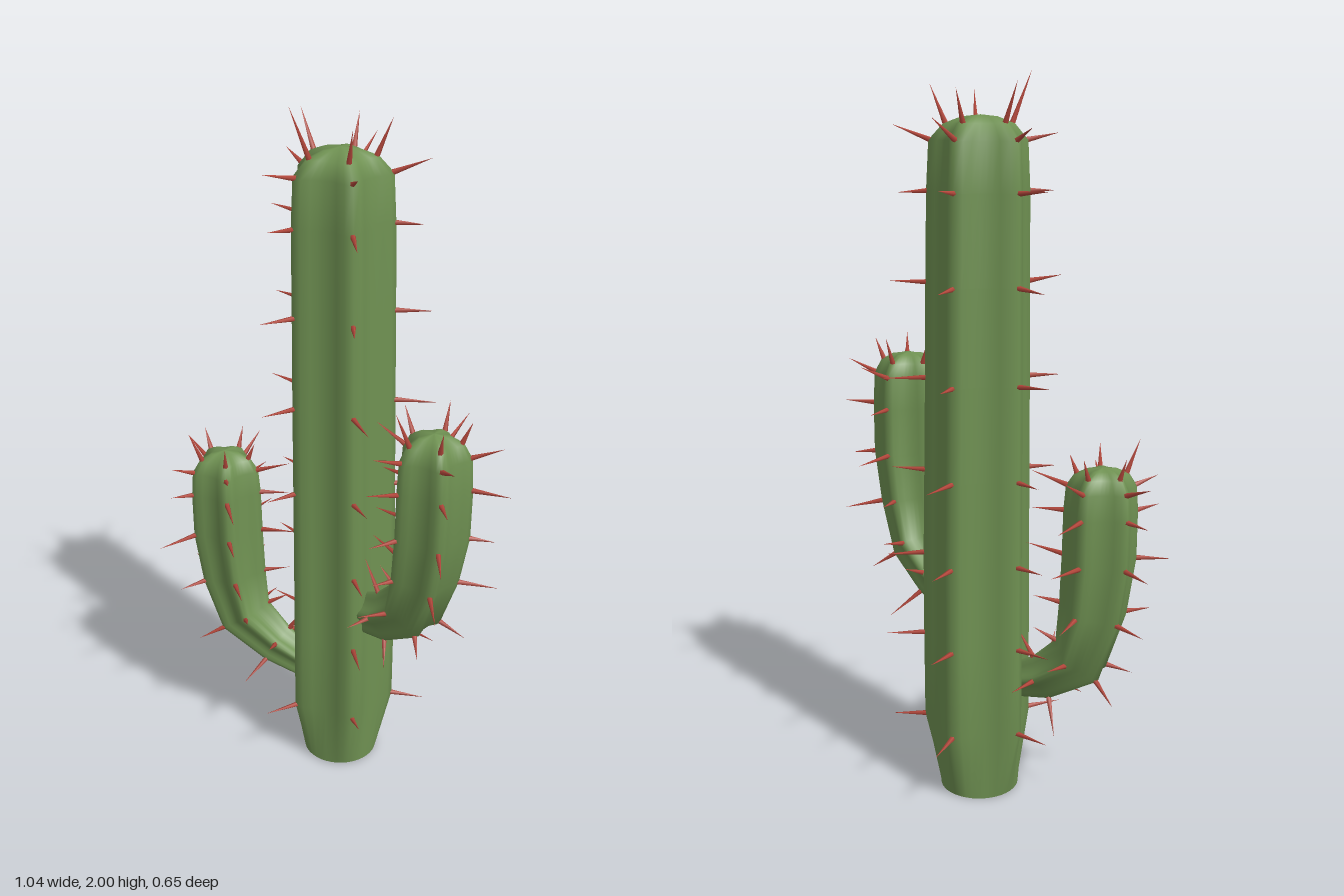
import * as THREE from 'three';
import { mergeGeometries } from 'three/addons/utils/BufferGeometryUtils.js';

const RIBS = 5, SEGMENTS = 40;
const UP = new THREE.Vector3(0, 1, 0);
const skin = new THREE.MeshStandardMaterial({ color: 0x6f9152, side: THREE.DoubleSide });
const red = new THREE.MeshStandardMaterial({ color: 0xb5483c });

// Small seeded generator for the irregular spines
let seed = 7;
const rand = () => (seed = (seed * 16807) % 2147483647) / 2147483647;
const jitter = (amount) => (rand() - 0.5) * 2 * amount;

// Rotation that tilts a level ring to follow the path at ring i
function ringTilt(rings, i) {
  const a = rings[Math.max(i - 1, 0)], b = rings[Math.min(i + 1, rings.length - 1)];
  const tangent = new THREE.Vector3(b[0] - a[0], b[1] - a[1], b[2] - a[2]).normalize();
  return new THREE.Quaternion().setFromUnitVectors(UP, tangent);
}

const radial = (angle) => new THREE.Vector3(Math.cos(angle), 0, Math.sin(angle));
const centre = (ring) => new THREE.Vector3(ring[0], ring[1], ring[2]);

// Ribbed stem lofted through rings of [x, y, z, radius, rib depth]
function stemGeometry(rings, phase) {
  const positions = [], index = [];
  rings.forEach((ring, i) => {
    const tilt = ringTilt(rings, i);
    const depth = ring[4] ?? 0.26;
    for (let j = 0; j < SEGMENTS; j++) {
      const a = (j / SEGMENTS) * Math.PI * 2;
      const rib = Math.pow(0.5 + 0.5 * Math.cos(RIBS * a), 1.7);
      const r = ring[3] * (1 - depth + depth * rib);
      const p = radial(a + phase).multiplyScalar(r).applyQuaternion(tilt).add(centre(ring));
      positions.push(p.x, p.y, p.z);
      if (i < rings.length - 1) {
        const k = (j + 1) % SEGMENTS;
        const a0 = i * SEGMENTS + j, b0 = i * SEGMENTS + k;
        const a1 = a0 + SEGMENTS, b1 = b0 + SEGMENTS;
        index.push(a0, a1, b0, b0, a1, b1);
      }
    }
  });
  const geometry = new THREE.BufferGeometry();
  geometry.setAttribute('position', new THREE.Float32BufferAttribute(positions, 3));
  geometry.setIndex(index);
  geometry.computeVertexNormals();
  return geometry;
}

// One spine on every rib of every ring except the bare [ring, rib] spots, with a crown at the tip
function spineGeometry(rings, phase, crownLength, bare) {
  const cones = [];
  const crown = rings.length - 3, shoulder = crown - 1;
  for (let i = 1; i <= crown; i++) {
    const tilt = ringTilt(rings, i);
    for (let j = 0; j < RIBS; j++) {
      if (bare.some(([ring, rib]) => ring === i && rib === j)) continue;
      const out = radial(phase + (j / RIBS) * Math.PI * 2);
      const root = out.clone().multiplyScalar(rings[i][3] - 0.008).applyQuaternion(tilt).add(centre(rings[i]));
      const dir = out.clone();
      let length = 0.07 + 0.055 * rand();
      if (i === crown) {
        dir.y = 2.4;
        length = crownLength * (j === 1 ? 1 : 0.55 + 0.25 * rand());
      } else {
        dir.y = (i === shoulder ? 0.35 : 0) + jitter(0.12);
        dir.x += jitter(0.18);
        dir.z += jitter(0.18);
        dir.applyQuaternion(tilt);
      }
      const cone = new THREE.ConeGeometry(0.008, length, 5);
      cone.translate(0, length / 2, 0);
      cone.applyQuaternion(new THREE.Quaternion().setFromUnitVectors(UP, dir.normalize()));
      cone.translate(root.x, root.y, root.z);
      cones.push(cone);
    }
  }
  return mergeGeometries(cones);
}

function stem(name, rings, phaseDegrees, crownLength, bare = []) {
  const phase = THREE.MathUtils.degToRad(phaseDegrees);
  const group = new THREE.Group();
  group.name = name;
  const body = new THREE.Mesh(stemGeometry(rings, phase), skin);
  body.name = name + 'Body';
  const spines = new THREE.Mesh(spineGeometry(rings, phase, crownLength, bare), red);
  spines.name = name + 'Spines';
  group.add(body, spines);
  return group;
}

export function createModel() {
  seed = 7;
  const model = new THREE.Group();
  model.name = 'cactus';

  // Trunk: round open foot, ribbed column, domed top
  const trunk = [
    [-0.025, 0, -0.087, 0.111, 0],
    [-0.028, 0.2, -0.089, 0.159],
    [-0.028, 0.45, -0.089, 0.159],
    [-0.029, 0.69, -0.089, 0.158],
    [-0.032, 0.93, -0.088, 0.155],
    [-0.035, 1.19, -0.087, 0.152],
    [-0.038, 1.45, -0.087, 0.149],
    [-0.041, 1.69, -0.086, 0.146],
    [-0.042, 1.82, -0.086, 0.139],
    [-0.042, 1.862, -0.086, 0.1],
    [-0.042, 1.88, -0.086, 0.05],
    [-0.042, 1.885, -0.086, 0],
  ];

  // Left arm: higher and longer
  const leftArm = [
    [0.07, 0.54, -0.098, 0.062],
    [0.17, 0.574, -0.101, 0.074],
    [0.272, 0.648, -0.103, 0.09],
    [0.311, 0.78, -0.104, 0.1],
    [0.332, 0.92, -0.104, 0.108],
    [0.334, 1.06, -0.104, 0.107],
    [0.333, 1.15, -0.104, 0.102],
    [0.332, 1.19, -0.104, 0.08],
    [0.332, 1.21, -0.104, 0.045],
    [0.332, 1.215, -0.104, 0],
  ];

  // Right arm: lower, bending forward
  const rightArm = [
    [-0.075, 0.315, 0, 0.05],
    [-0.17, 0.35, 0.04, 0.066],
    [-0.274, 0.427, 0.088, 0.086],
    [-0.304, 0.57, 0.107, 0.099],
    [-0.318, 0.72, 0.115, 0.107],
    [-0.32, 0.85, 0.116, 0.106],
    [-0.321, 0.92, 0.116, 0.1],
    [-0.321, 0.955, 0.116, 0.077],
    [-0.321, 0.972, 0.116, 0.042],
    [-0.321, 0.977, 0.116, 0],
  ];

  model.add(
    stem('trunk', trunk, 25, 0.148, [[2, 1], [3, 1]]),
    stem('leftArm', leftArm, 29, 0.115),
    stem('rightArm', rightArm, 33, 0.1),
  );
  return model;
}
